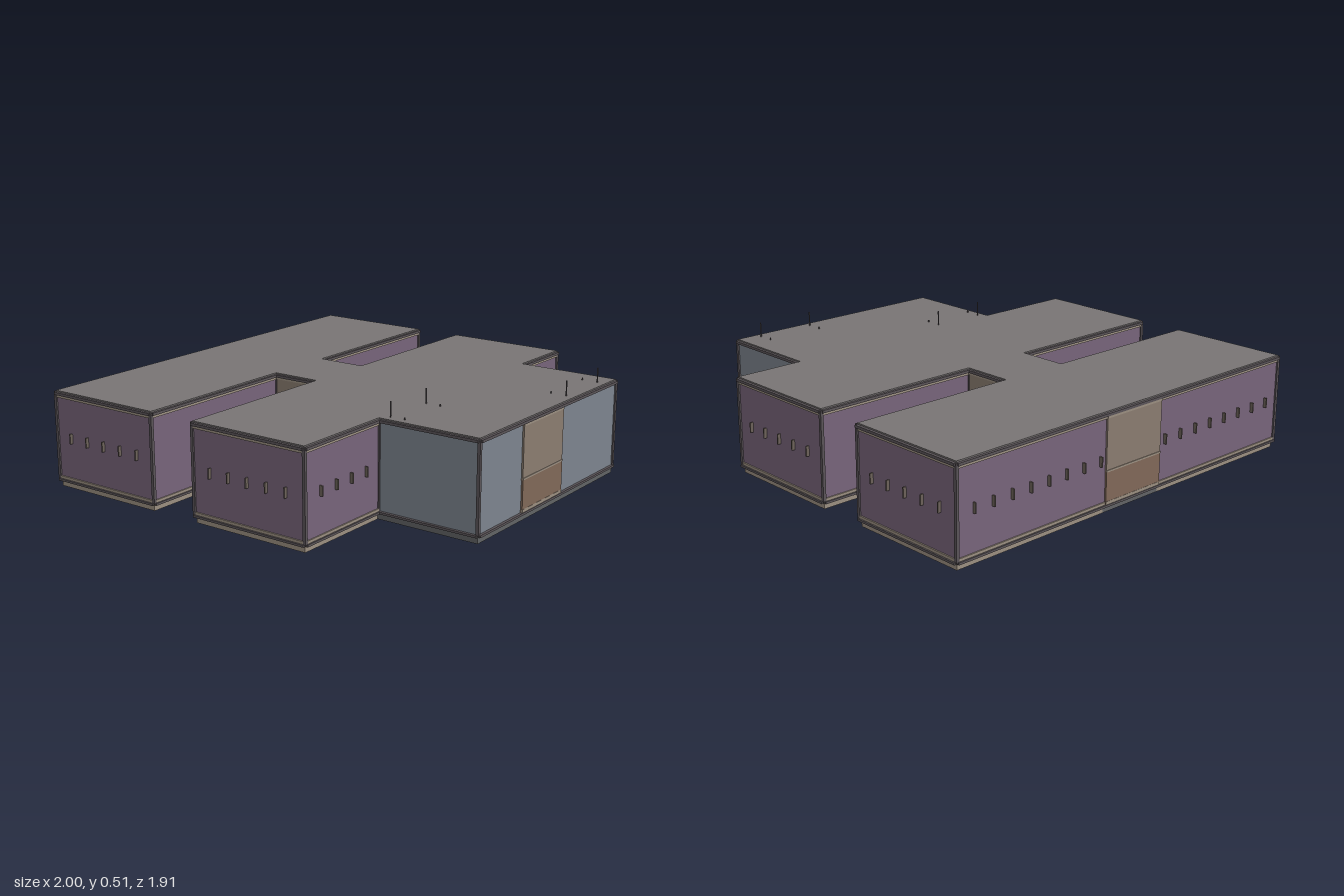
import * as THREE from 'three';

const mat = (color) => new THREE.MeshStandardMaterial({ color });
const M = {
  purple: mat(0x77647a), blue: mat(0x7c848e), tan: mat(0x8a7c70), brown: mat(0x806858),
  roof: mat(0x787474), trim: mat(0x5a5458), beige: mat(0x9a8e80), dark: mat(0x606264), slit: mat(0x6c6259),
};

function box(parent, name, material, w, h, d, x, y, z) {
  const mesh = new THREE.Mesh(new THREE.BoxGeometry(w, h, d), material);
  mesh.name = name;
  mesh.position.set(x, y, z);
  parent.add(mesh);
  return mesh;
}

// box from its x, y and z ranges
const span = (parent, name, material, x0, x1, y0, y1, z0, z1) =>
  box(parent, name, material, x1 - x0, y1 - y0, z1 - z0, (x0 + x1) / 2, (y0 + y1) / 2, (z0 + z1) / 2);

// footprint corners (x, z), counter-clockwise seen from above, with the kind of wall that starts there
const OUTLINE = [
  [-0.495, 0.943, 'entrance'], [0.655, 0.943, 'block'], [0.655, 0.455, 'wing'], [0.985, 0.455, 'wing'],
  [0.985, -0.13, 'gap'], [0.17, -0.13, 'neck'], [0.17, -0.365, 'gap'], [0.985, -0.365, 'wing'],
  [0.985, -0.943, 'back'], [-0.985, -0.943, 'wing'], [-0.985, -0.365, 'gap'], [-0.17, -0.365, 'neck'],
  [-0.17, -0.13, 'gap'], [-0.985, -0.13, 'wing'], [-0.985, 0.455, 'wing'], [-0.495, 0.455, 'block'],
];

// tan upper panel, ledge and brown lower panel, on a wall facing local +z
function glazing(wall, width, x, proud) {
  box(wall, 'upperPanel', M.tan, width, 0.25, 0.008, x, 0.305, proud);
  box(wall, 'lowerPanel', M.brown, width, 0.15, 0.008, x, 0.11, proud + 0.001);
  box(wall, 'panelLedge', M.beige, width, 0.008, 0.012, x, 0.185, proud + 0.001);
  box(wall, 'panelHead', M.beige, width, 0.014, 0.012, x, 0.421, proud);
  box(wall, 'panelSill', M.beige, width, 0.014, 0.012, x, 0.045, proud);
}

// everything attached to one outer wall
function createWall([x0, z0, kind], [x1, z1]) {
  const wall = new THREE.Group();
  wall.name = kind + 'WallDetails';
  wall.position.set((x0 + x1) / 2, 0, (z0 + z1) / 2);
  wall.rotation.y = Math.atan2(z0 - z1, x1 - x0);
  const length = Math.hypot(x1 - x0, z1 - z0);

  box(wall, 'roofEdgeTrim', M.trim, length, 0.012, 0.026, 0, 0.43, 0);
  box(wall, 'baseEdgeTrim', M.trim, length, 0.01, 0.026, 0, 0.033, 0);

  if (kind === 'wing' || kind === 'back' || kind === 'gap') {
    box(wall, 'upperBand', M.beige, length, 0.012, 0.012, 0, 0.418, 0);
    box(wall, 'lowerBand', M.beige, length, 0.012, 0.012, 0, 0.044, 0);
  }
  // narrow slits at a regular pitch
  if (kind === 'wing' || kind === 'back') {
    const count = Math.max(3, Math.floor(length / 0.1));
    for (let i = 0; i < count; i++) {
      const x = (i - (count - 1) / 2) * 0.1;
      if (kind === 'back' && Math.abs(x) < 0.2) continue;
      box(wall, 'slit', M.slit, 0.006, 0.045, 0.03, x, 0.235, 0);
    }
  }
  if (kind === 'neck') glazing(wall, length, 0, 0);
  if (kind === 'back') glazing(wall, 0.335, 0, 0.004);
  if (kind === 'entrance') glazing(wall, 0.33, -(x0 + x1) / 2, 0.004);
  return wall;
}

export function createModel() {
  const model = new THREE.Group();
  model.name = 'building';

  // wall volumes
  span(model, 'backWing', M.purple, -0.985, 0.985, 0.03, 0.432, -0.943, -0.365);
  span(model, 'frontWing', M.purple, -0.985, 0.985, 0.03, 0.432, -0.13, 0.455);
  span(model, 'neck', M.tan, -0.17, 0.17, 0.03, 0.432, -0.365, -0.13);
  span(model, 'entranceBlock', M.blue, -0.495, 0.655, 0.03, 0.432, 0.455, 0.943);

  // plinths: pale under the wings, dark under the spine and the entrance block
  for (const s of [-1, 1]) {
    const [a, b] = s < 0 ? [-0.98, -0.17] : [0.17, 0.98];
    span(model, 'wingPlinth', M.beige, a, b, 0, 0.03, -0.938, -0.37);
    span(model, 'wingPlinth', M.beige, a, b, 0, 0.03, -0.125, 0.45);
  }
  span(model, 'spinePlinth', M.dark, -0.17, 0.17, 0, 0.03, -0.938, 0.45);
  span(model, 'entrancePlinth', M.dark, -0.495, 0.655, 0, 0.03, 0.45, 0.943);

  // one flat roof over the whole footprint
  const shape = new THREE.Shape(OUTLINE.map(([x, z]) => new THREE.Vector2(x, -z)));
  const roofGeometry = new THREE.ExtrudeGeometry(shape, { depth: 0.012, bevelEnabled: false });
  roofGeometry.rotateX(-Math.PI / 2);
  const roof = new THREE.Mesh(roofGeometry, M.roof);
  roof.name = 'roof';
  roof.position.y = 0.43;
  model.add(roof);

  // wall details and a post at each corner
  OUTLINE.forEach((corner, i) => {
    model.add(createWall(corner, OUTLINE[(i + 1) % OUTLINE.length]));
    box(model, 'cornerPost', M.trim, 0.014, 0.4, 0.014, corner[0], 0.234, corner[1]);
  });

  // roof poles, each with a short stud beside it
  for (const [x, poleZ, studZ] of [[-0.46, 0.488, 0.56], [-0.2, 0.488, 0.56], [0.265, 0.905, 0.83], [0.55, 0.905, 0.83]]) {
    for (const [name, z, height] of [['roofPole', poleZ, 0.07], ['roofStud', studZ, 0.012]]) {
      const pole = new THREE.Mesh(new THREE.CylinderGeometry(0.003, 0.003, height, 8), M.trim);
      pole.name = name;
      pole.position.set(x, 0.44 + height / 2, z);
      model.add(pole);
    }
  }
  return model;
}
